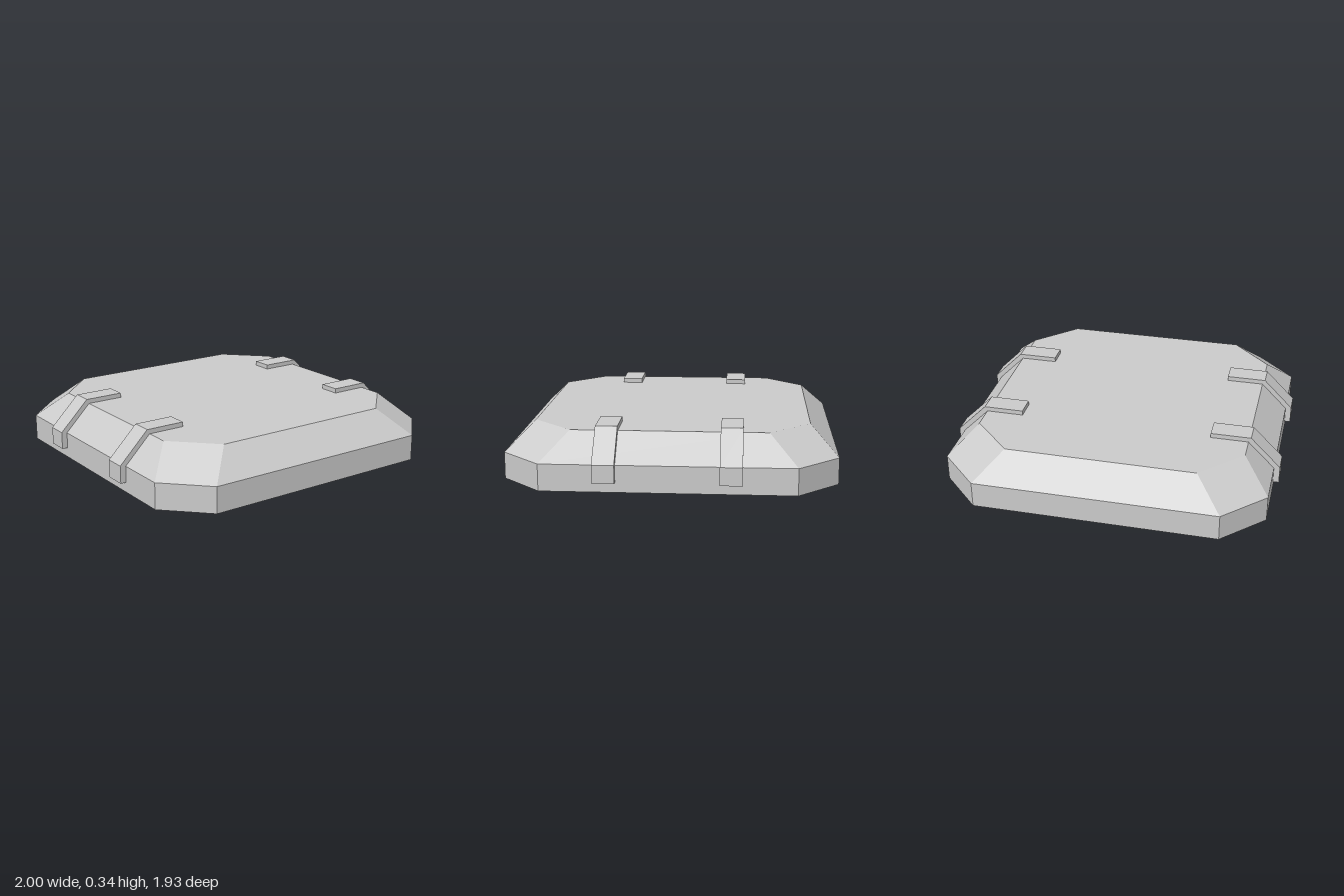
import * as THREE from 'three';

const material = new THREE.MeshStandardMaterial({ color: 0xcccccc, flatShading: true });

// Eight corners of a chamfered square: a = half width, b = where the chamfer starts
function octagon([a, b, y]) {
  return [[a, b], [b, a], [-b, a], [-a, b], [-a, -b], [-b, -a], [b, -a], [a, -b]]
    .map(([x, z]) => [x, y, z]);
}

// Joins a run of octagons into faceted bands; a ring of zero size closes a cap
function loftOctagons(rings) {
  const positions = [];
  for (let r = 0; r < rings.length - 1; r++) {
    const p = octagon(rings[r]);
    const q = octagon(rings[r + 1]);
    for (let i = 0; i < 8; i++) {
      const j = (i + 1) % 8;
      if (rings[r][0] > 0) positions.push(...p[j], ...p[i], ...q[i]);
      if (rings[r + 1][0] > 0) positions.push(...p[j], ...q[i], ...q[j]);
    }
  }
  const geometry = new THREE.BufferGeometry();
  geometry.setAttribute('position', new THREE.Float32BufferAttribute(positions, 3));
  geometry.computeVertexNormals();
  return geometry;
}

// Bent strap, drawn in x/y and extruded along z
function strapGeometry(width) {
  const profile = [
    [0.58, 0.31], [0.80, 0.31], [0.96, 0.15], [0.96, 0.06],
    [1.0, 0.06], [1.0, 0.165], [0.82, 0.345], [0.58, 0.345],
  ].map(([x, y]) => new THREE.Vector2(x, y));
  return new THREE.ExtrudeGeometry(new THREE.Shape(profile), { depth: width, bevelEnabled: false })
    .translate(0, 0, -width / 2);
}

export function createModel() {
  const model = new THREE.Group();
  model.name = 'hatchCover';

  // Hollow cover: recess ceiling, inner slope and wall, rim, outer wall, bevel, top
  const cover = new THREE.Mesh(loftOctagons([
    [0, 0, 0.18],
    [0.77, 0.57, 0.18],
    [0.865, 0.68, 0.095],
    [0.865, 0.68, 0],
    [0.965, 0.725, 0],
    [0.965, 0.725, 0.157],
    [0.805, 0.565, 0.317],
    [0, 0, 0.317],
  ]), material);
  cover.name = 'cover';
  model.add(cover);

  // Two straps folded over each side edge
  const strap = strapGeometry(0.127);
  for (const side of [1, -1]) {
    for (const z of [0.355, -0.355]) {
      const mesh = new THREE.Mesh(strap, material);
      mesh.name = `${side > 0 ? 'left' : 'right'}${z > 0 ? 'Front' : 'Back'}Strap`;
      mesh.rotation.y = side > 0 ? 0 : Math.PI;
      mesh.position.z = z;
      model.add(mesh);
    }
  }
  return model;
}
